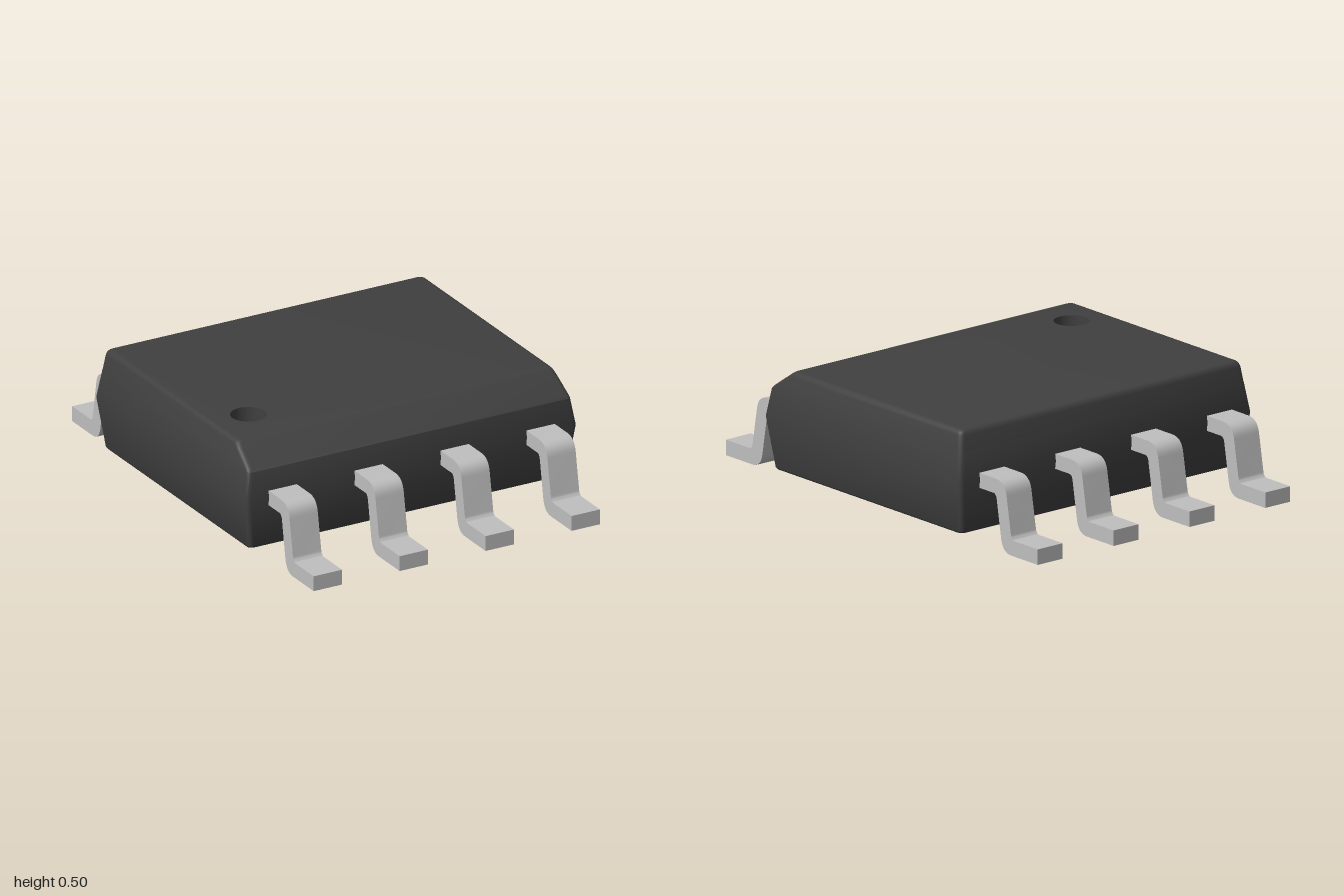
import * as THREE from 'three';
import { mergeGeometries, toCreasedNormals } from 'three/addons/utils/BufferGeometryUtils.js';

const bodyMat = new THREE.MeshStandardMaterial({ color: 0x404040 });
bodyMat.name = 'dark plastic';
const metalMat = new THREE.MeshStandardMaterial({ color: 0xbfbfbf });
metalMat.name = 'tinned metal';

const HOLE = { x: -0.58, z: 0.28, r: 0.075, floor: 0.06 };

// Body cross-sections from bottom to top: y, half width, front z, back z
const LEVELS = [
  [0.05, 0.747, 0.587, 0.587],
  [0.053, 0.755, 0.595, 0.595],
  [0.061, 0.761, 0.601, 0.601],
  [0.28, 0.79, 0.63, 0.63],
  [0.402, 0.772, 0.612, 0.612],
  [0.412, 0.77, 0.603, 0.61],
  [0.476, 0.761, 0.513, 0.601],
  [0.488, 0.757, 0.498, 0.597],
  [0.496, 0.75, 0.486, 0.59],
  [0.5, 0.738, 0.473, 0.578],
];

// Rounded rectangle at one height, running from +x towards +z
function ring([y, hx, zf, zb], r = 0.022, seg = 4) {
  const pts = [];
  const corners = [[hx - r, zf - r], [r - hx, zf - r], [r - hx, r - zb], [hx - r, r - zb]];
  corners.forEach(([cx, cz], k) => {
    for (let i = 0; i <= seg; i++) {
      const t = (k + i / seg) * Math.PI / 2;
      pts.push(new THREE.Vector3(cx + r * Math.cos(t), y, cz + r * Math.sin(t)));
    }
  });
  return pts;
}

function bodyGeometry() {
  const rings = LEVELS.map((l) => ring(l));
  const n = rings[0].length;
  const verts = [];
  const tri = (...p) => p.forEach((v) => verts.push(v.x, v.y, v.z));
  const centre = new THREE.Vector3(0, LEVELS[0][0], 0);
  for (let j = 0; j < n; j++) {
    const k = (j + 1) % n;
    tri(centre, rings[0][j], rings[0][k]);
    for (let i = 0; i < rings.length - 1; i++) {
      const a = rings[i], b = rings[i + 1];
      tri(a[j], b[j], a[k]);
      tri(a[k], b[j], b[k]);
    }
  }
  const shell = new THREE.BufferGeometry();
  shell.setAttribute('position', new THREE.Float32BufferAttribute(verts, 3));

  // Top face with the marker hole
  const last = rings[rings.length - 1];
  const face = new THREE.Shape(last.map((p) => new THREE.Vector2(p.x, -p.z)));
  face.holes.push(new THREE.Path().absarc(HOLE.x, -HOLE.z, HOLE.r, 0, Math.PI * 2, true));
  const top = new THREE.ShapeGeometry(face, 16).rotateX(-Math.PI / 2).translate(0, 0.5, 0);

  // Hole wall turned inwards, and its floor
  const depth = 0.5 - HOLE.floor;
  const wall = new THREE.CylinderGeometry(HOLE.r, HOLE.r, depth, 32, 1, true);
  wall.index.array.reverse();
  wall.translate(HOLE.x, HOLE.floor + depth / 2, HOLE.z);
  const floor = new THREE.CircleGeometry(HOLE.r, 32).rotateX(-Math.PI / 2)
    .translate(HOLE.x, HOLE.floor, HOLE.z);

  const parts = [shell, top, wall, floor].map((g) => {
    const flat = g.index ? g.toNonIndexed() : g;
    flat.deleteAttribute('uv');
    flat.deleteAttribute('normal');
    return flat;
  });
  return toCreasedNormals(mergeGeometries(parts), 0.55);
}

// Gull-wing lead: side outline drawn as (z, y), extruded across its width
function leadGeometry(width = 0.135) {
  const s = new THREE.Shape();
  s.moveTo(1, 0);
  s.lineTo(1, 0.067);
  s.lineTo(0.85, 0.067);
  s.quadraticCurveTo(0.832, 0.067, 0.828, 0.09);
  s.lineTo(0.8, 0.25);
  s.quadraticCurveTo(0.79, 0.31, 0.73, 0.31);
  s.lineTo(0.58, 0.31);
  s.lineTo(0.58, 0.245);
  s.lineTo(0.715, 0.245);
  s.quadraticCurveTo(0.733, 0.245, 0.737, 0.222);
  s.lineTo(0.765, 0.06);
  s.quadraticCurveTo(0.775, 0, 0.83, 0);
  s.closePath();
  const g = new THREE.ExtrudeGeometry(s, { depth: width, bevelEnabled: false, curveSegments: 8 });
  g.translate(0, 0, -width / 2).rotateY(-Math.PI / 2);
  return toCreasedNormals(g, 0.5);
}

export function createModel() {
  const model = new THREE.Group();
  model.name = 'chipPackage';
  const add = (geometry, material, name) => {
    const mesh = new THREE.Mesh(geometry, material);
    mesh.name = name;
    model.add(mesh);
    return mesh;
  };

  add(bodyGeometry(), bodyMat, 'body');

  // Four leads on the front and four on the back
  const lead = leadGeometry();
  for (const x of [-0.615, -0.205, 0.205, 0.615]) {
    add(lead, metalMat, 'frontLead').position.x = x;
    const back = add(lead, metalMat, 'backLead');
    back.position.x = x;
    back.rotation.y = Math.PI;
  }

  // Heat pad underneath
  add(new THREE.BoxGeometry(0.645, 0.055, 0.645), metalMat, 'heatPad').position.y = 0.0275;
  return model;
}
